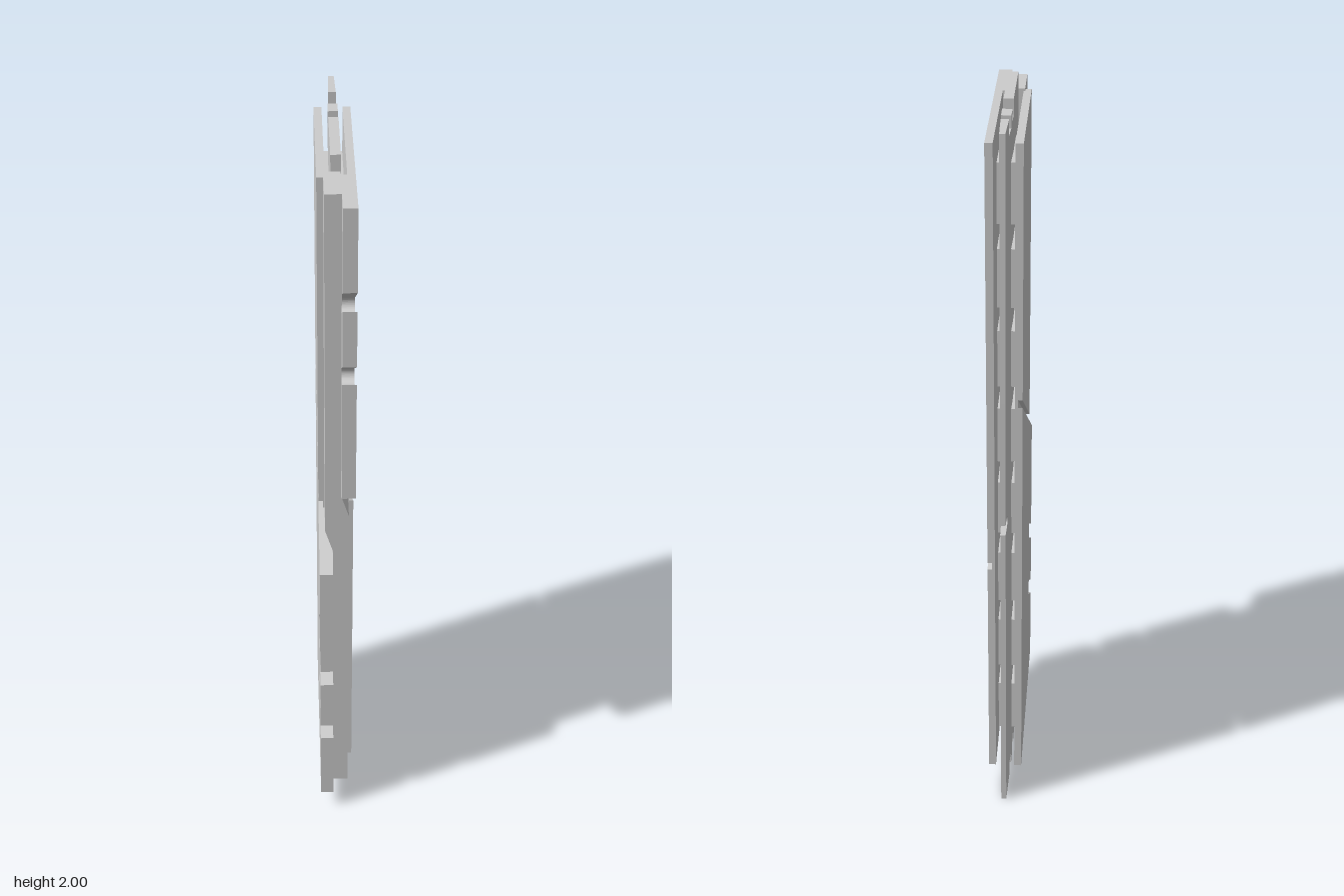
import * as THREE from 'three';

const material = new THREE.MeshStandardMaterial({ color: 0xcccccc });
const SLOPE = 0.655; // shared slant of the slots and the diagonal edge
const slant = (z, offset = 0) => 1.13 + offset + (z - 0.32) * SLOPE;

function mesh(name, geometry) {
  const m = new THREE.Mesh(geometry, material);
  m.name = name;
  return m;
}

const polygon = (points) => new THREE.Shape(points.map(([a, b]) => new THREE.Vector2(a, b)));

// Extrudes a (z, y) outline between two x positions
function slab(name, shape, x0, x1) {
  const g = new THREE.ExtrudeGeometry(shape, { depth: x1 - x0, bevelEnabled: false, curveSegments: 10 });
  g.rotateY(-Math.PI / 2).translate(x1, 0, 0);
  return mesh(name, g);
}

// Slotted outline of the large half of a cover, reaching back to zBack
function coverOutline(zBack) {
  const s = new THREE.Shape();
  const angle = Math.atan(SLOPE), r = 0.021, zEnd = 0.185;
  s.moveTo(zBack, slant(zBack));
  s.lineTo(0.32, slant(0.32));
  for (const y of [1.5, 1.705]) {
    const half = r / Math.cos(angle);
    s.lineTo(0.32, y - half);
    s.absarc(zEnd, y - (0.32 - zEnd) * SLOPE, r, angle - Math.PI / 2, angle + Math.PI / 2, true);
    s.lineTo(0.32, y + half);
  }
  s.lineTo(0.32, 1.95);
  s.lineTo(zBack, 1.95);
  return s;
}

// One cover: slotted half, small panel and the groove between them
function makeCover(name) {
  const cover = new THREE.Group();
  cover.name = name;
  const back = -0.237, front = 0.163;
  cover.add(
    slab('slottedPanel', coverOutline(back), 0.025, 0.045),
    slab('finThickness', coverOutline(0.147), 0.0095, 0.025),
    slab('lowerPanel', polygon([
      [back, 0.06], [front, 0.06], [front, slant(front, -0.022)], [back, slant(back, -0.022)],
    ]), 0.025, 0.045),
    slab('grooveFloor', polygon([
      [back, slant(back, -0.03)], [front, slant(front, -0.03)],
      [front, slant(front, 0.01)], [back, slant(back, 0.01)],
    ]), 0.025, 0.033),
  );
  return cover;
}

// Circuit board with end tabs and a rounded key notch, thinning to its back edge
function makeBoard() {
  const s = polygon([
    [0.147, 0], [0.147, 2], [-0.063, 2], [-0.063, 1.96], [-0.115, 1.96],
    [-0.115, 1.992], [-0.162, 1.992], [-0.162, 1.96], [-0.212, 1.96], [-0.212, 2],
    [-0.314, 2], [-0.317, 1.7], [-0.322, 1.3], [-0.324, 0.942], [-0.28, 0.942],
  ]);
  s.absarc(-0.28, 0.927, 0.015, Math.PI / 2, -Math.PI / 2, true);
  for (const [z, y] of [
    [-0.324, 0.912], [-0.322, 0.7], [-0.317, 0.3], [-0.314, 0], [-0.212, 0], [-0.212, 0.045],
    [-0.162, 0.045], [-0.162, 0.005], [-0.115, 0.005], [-0.115, 0.045], [-0.063, 0.045], [-0.063, 0],
  ]) s.lineTo(z, y);
  const board = slab('circuitBoard', s, -0.0125, 0.0125);
  const p = board.geometry.attributes.position;
  for (let i = 0; i < p.count; i++) {
    const z = p.getZ(i);
    const half = z > -0.165 ? 0.0125
      : z > -0.212 ? 0.0125 + (z + 0.165) * 0.053
      : 0.01 + (z + 0.212) * 0.027;
    p.setX(i, Math.sign(p.getX(i)) * half - 0.0022);
  }
  board.geometry.computeVertexNormals();
  return board;
}

export function createModel() {
  const model = new THREE.Group();
  model.name = 'memoryModule';
  model.add(makeBoard());

  // Front spine, stepping sideways at mid height
  const spine = new THREE.ExtrudeGeometry(polygon([
    [-0.032, 1.957], [-0.032, 0.98], [-0.012, 0.915], [-0.012, 0.055],
    [0.03, 0.055], [0.03, 1.03], [0.0095, 1.095], [0.0095, 1.957],
  ]), { depth: 0.117, bevelEnabled: false });
  model.add(mesh('frontSpine', spine.translate(0, 0, 0.146)));

  // Covers: the second is the first turned half round about the z axis
  const left = makeCover('leftCover');
  const right = makeCover('rightCover');
  right.rotation.z = Math.PI;
  right.position.set(-0.003, 2.01, 0);
  model.add(left, right);

  // Memory chips along both faces of the board
  for (let i = 0; i < 8; i++) {
    const chip = mesh('memoryChips', new THREE.BoxGeometry(0.048, 0.16, 0.19));
    chip.position.set(-0.002, 0.21 + i * 0.2257, -0.055);
    model.add(chip);
  }
  return model;
}
